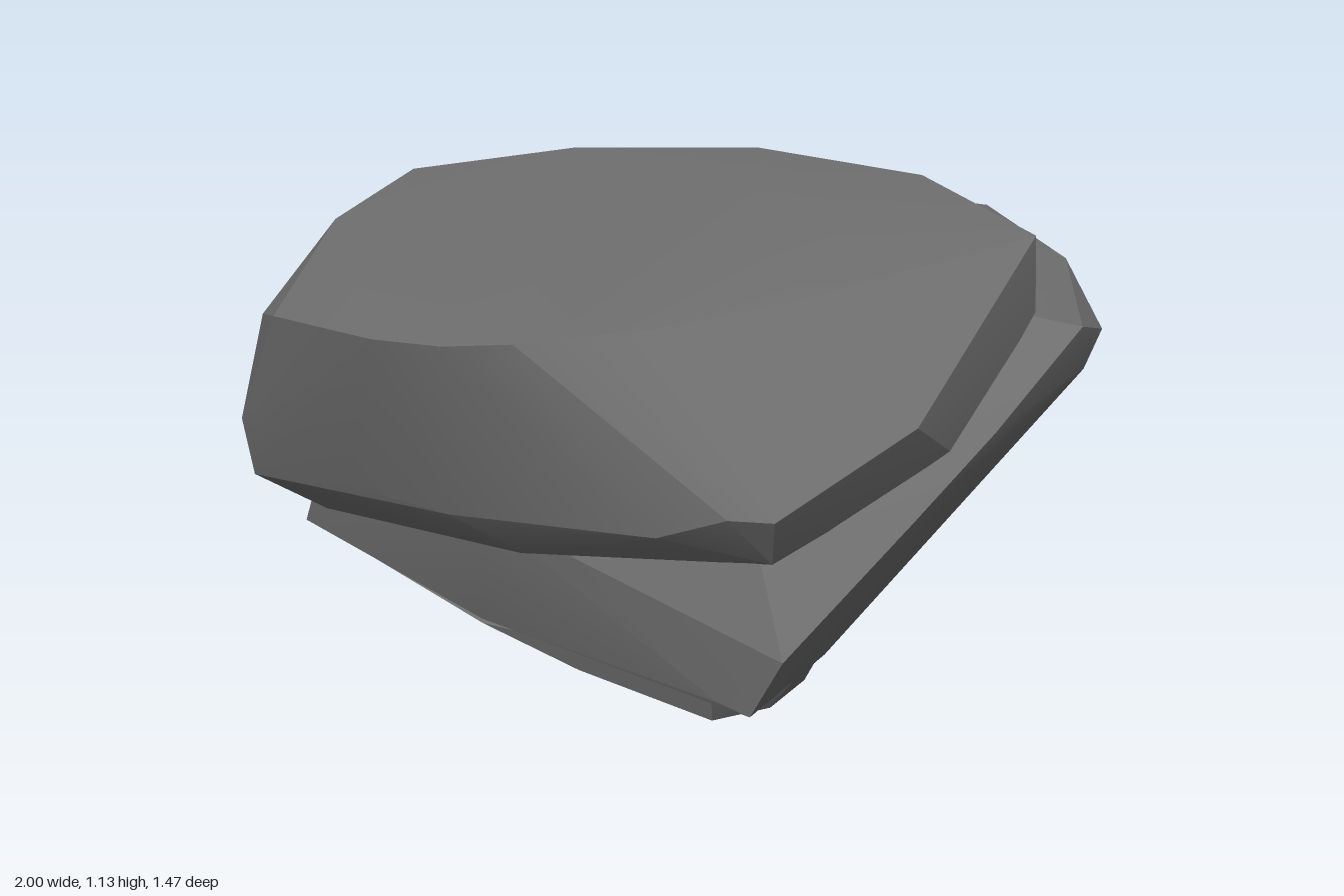
import * as THREE from 'three';
import { ConvexGeometry } from 'three/addons/geometries/ConvexGeometry.js';
import { toCreasedNormals } from 'three/addons/utils/BufferGeometryUtils.js';

const material = new THREE.MeshStandardMaterial({ color: 0x6e6e6e });

// One fractured layer of the boulder: the hull of its corners, soft across shallow edges
function layer(name, corners) {
  const hull = new ConvexGeometry(corners.map((c) => new THREE.Vector3(...c)));
  const mesh = new THREE.Mesh(toCreasedNormals(hull, 0.35), material);
  mesh.name = name;
  return mesh;
}

export function createModel() {
  const rock = new THREE.Group();
  rock.name = 'boulder';

  rock.add(
    // Sloping cap with its overhanging front nose
    layer('capLayer', [
      // back ridge and the foot of its wall
      [-0.63, 0.93, -0.6], [-0.25, 1.03, -0.52], [0.18, 1.09, -0.41],
      [0.57, 1.13, -0.19], [0.85, 1.11, 0.09], [0.4, 1.12, 0],
      [-0.25, 0.85, -0.51], [0.18, 0.88, -0.4], [0.57, 0.88, -0.17],
      // front rim of the top
      [0.3, 1.05, 0.36], [-0.02, 1.02, 0.47], [-0.2, 1.0, 0.48], [-0.34, 0.97, 0.46],
      [-0.51, 0.92, 0.37], [-0.68, 0.88, 0.25], [-0.92, 0.82, 0],
      // nose and right edge
      [0.17, 0.64, 0.69], [0.28, 0.64, 0.7], [0.6, 0.8, 0.5], [0.85, 0.93, 0.12],
      [0.68, 0.67, 0.36], [0.27, 0.5, 0.62], [0.05, 0.49, 0.54],
      // front lower rim
      [0, 0.56, 0.62], [-0.3, 0.48, 0.4], [-0.5, 0.45, 0.27], [-0.75, 0.43, 0.07],
      [-0.33, 0.37, 0.3], [-0.8, 0.3, -0.08],
      // left end
      [-0.95, 0.78, -0.1], [-1.0, 0.5, -0.13], [-0.97, 0.36, -0.13], [-0.8, 0.88, -0.42],
      [-0.86, 0.63, -0.55], [-0.83, 0.38, -0.51], [-0.78, 0.3, -0.3], [-0.4, 0.65, -0.5],
    ]),

    // Wide middle layer that forms the rear ledge and the slanting right side
    layer('middleLayer', [
      [0.2, 0.5, 0.58], [0.22, 0.57, 0.56], [0.3, 0.3, 0.73], [0.22, 0.13, 0.66], [0.14, 0.14, 0.6],
      [0.59, 0.56, 0.5], [0.77, 0.72, 0.34],
      // ledge rim
      [0.84, 0.92, 0.12], [0.96, 0.9, 0.13], [1.0, 0.86, 0.05], [0.9, 0.91, -0.23],
      [0.7, 0.9, -0.54], [0.62, 0.89, -0.58], [0.2, 0.9, -0.6], [-0.1, 0.9, -0.57],
      [-0.35, 0.88, -0.56], [-0.56, 0.73, -0.585],
      // underside of the right
      [0.96, 0.78, 0.1], [0.38, 0.19, 0.43], [0.47, 0.28, 0.08], [0.62, 0.33, -0.2],
      [0.58, 0.33, -0.47], [0.7, 0.6, -0.47], [0.05, 0.24, -0.48],
      // left foot
      [-0.43, 0.12, 0.12], [-0.43, 0.42, 0.18], [-0.86, 0.17, -0.3], [-0.81, 0.4, -0.25],
      [-0.82, 0.19, -0.43], [-0.79, 0.36, -0.42], [-0.57, 0.22, -0.48],
    ]),

    // Slab split off the back, with a slanting step and a rim that dives to the left end
    layer('backSlab', [
      [0.44, 0.89, -0.71], [0.48, 0.88, -0.58], [0.3, 0.89, -0.72], [0.1, 0.89, -0.735],
      [-0.1, 0.86, -0.715], [-0.3, 0.8, -0.68], [-0.47, 0.68, -0.635], [0, 0.85, -0.4],
      [0.05, 0.22, -0.55], [0.1, 0.23, -0.45], [-0.57, 0.23, -0.52],
      [-0.75, 0.31, -0.46], [-0.5, 0.3, -0.3],
    ]),

    // Base the boulder rests on, its underside rising towards the left foot
    layer('baseLayer', [
      [0.3, 0.02, -0.4], [0.15, 0, -0.42], [0.32, 0.02, 0.2], [0.25, 0.02, 0.36], [0.12, 0.02, 0.44],
      [0.12, 0.15, 0.48], [-0.2, 0.05, 0.24], [-0.2, 0.05, -0.44], [-0.43, 0.1, 0.1],
      [-0.57, 0.12, -0.46], [-0.85, 0.17, -0.3], [-0.82, 0.18, -0.43],
      [0.38, 0.2, 0.39], [0.45, 0.28, 0.08], [0.52, 0.32, -0.2], [0.46, 0.31, -0.46],
      [-0.55, 0.25, -0.49], [-0.78, 0.26, -0.42],
    ]),
  );

  // Small broken blocks along the back of the base
  [-0.1, -0.24].forEach((x, i) => {
    const w = 0.045;
    rock.add(layer(`backChip${i + 1}`, [
      [x - w, 0.24, -0.55], [x + w, 0.24, -0.55], [x - w, 0.12, -0.53], [x + w, 0.1, -0.53],
      [x - w, 0.25, -0.4], [x + w, 0.25, -0.4], [x - w, 0.08, -0.42], [x + w, 0.08, -0.42],
    ]));
  });

  return rock;
}
